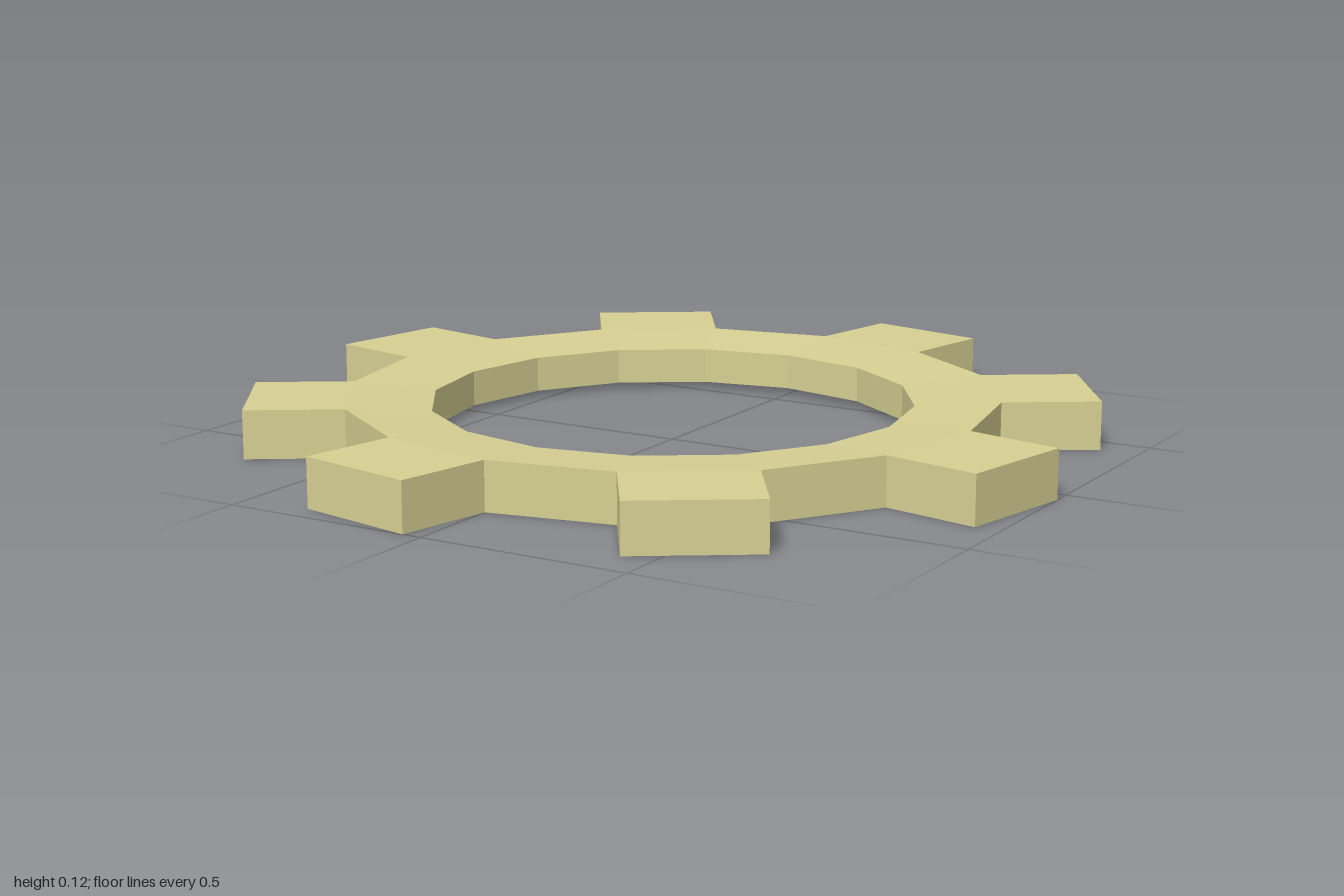
import * as THREE from 'three';

const SIDES = 16;          // every second side carries a tooth
const OUTER = 0.77, INNER = 0.57;
const HEIGHT = 0.115, BEVEL = 0.015;   // the ring thins slightly towards the hole
const TOOTH = 0.2345;

// Collects quads, corners counter-clockwise from outside, into flat faces
function quadMesh(name, material, build) {
  const pos = [];
  const quad = (a, b, c, d) => [a, b, c, a, c, d].forEach((p) => pos.push(p.x, p.y, p.z));
  build(quad);
  const geometry = new THREE.BufferGeometry();
  geometry.setAttribute('position', new THREE.Float32BufferAttribute(pos, 3));
  geometry.computeVertexNormals();
  const mesh = new THREE.Mesh(geometry, material);
  mesh.name = name;
  return mesh;
}

// A vertical edge of the outline: its low and high end
const post = (x, z, inset = 0) => ({
  low: new THREE.Vector3(x, inset, z),
  high: new THREE.Vector3(x, HEIGHT - inset, z),
});
const polar = (r, a, inset) => post(r * Math.cos(a), r * Math.sin(a), inset);

// Upright face between two posts, and the top and bottom between four
const wall = (quad, p, q) => quad(q.low, p.low, p.high, q.high);
const caps = (quad, a, b, c, d) => {
  quad(a.high, d.high, c.high, b.high);
  quad(a.low, b.low, c.low, d.low);
};

export function createModel() {
  const group = new THREE.Group();
  group.name = 'gear';
  const material = new THREE.MeshStandardMaterial({ color: 0xd6cf92, flatShading: true });
  const step = (2 * Math.PI) / SIDES;

  // Ring with its hole; outer walls only between the teeth
  group.add(quadMesh('ring', material, (quad) => {
    for (let i = 0; i < SIDES; i++) {
      const a = i * step, b = a + step;
      const i0 = polar(INNER, a, BEVEL), i1 = polar(INNER, b, BEVEL);
      const o0 = polar(OUTER, a), o1 = polar(OUTER, b);
      caps(quad, i0, o0, o1, i1);
      wall(quad, i1, i0);
      if (i % 2) wall(quad, o0, o1);
    }
  }));

  // Straight-sided teeth, open where they join the ring
  for (let i = 0; i < SIDES; i += 2) {
    group.add(quadMesh('tooth', material, (quad) => {
      const a = i * step, b = a + step, mid = a + step / 2;
      const dx = TOOTH * Math.cos(mid), dz = TOOTH * Math.sin(mid);
      const o0 = polar(OUTER, a), o1 = polar(OUTER, b);
      const t0 = post(o0.low.x + dx, o0.low.z + dz);
      const t1 = post(o1.low.x + dx, o1.low.z + dz);
      caps(quad, o0, t0, t1, o1);
      wall(quad, o0, t0);
      wall(quad, t0, t1);
      wall(quad, t1, o1);
    }));
  }
  return group;
}
